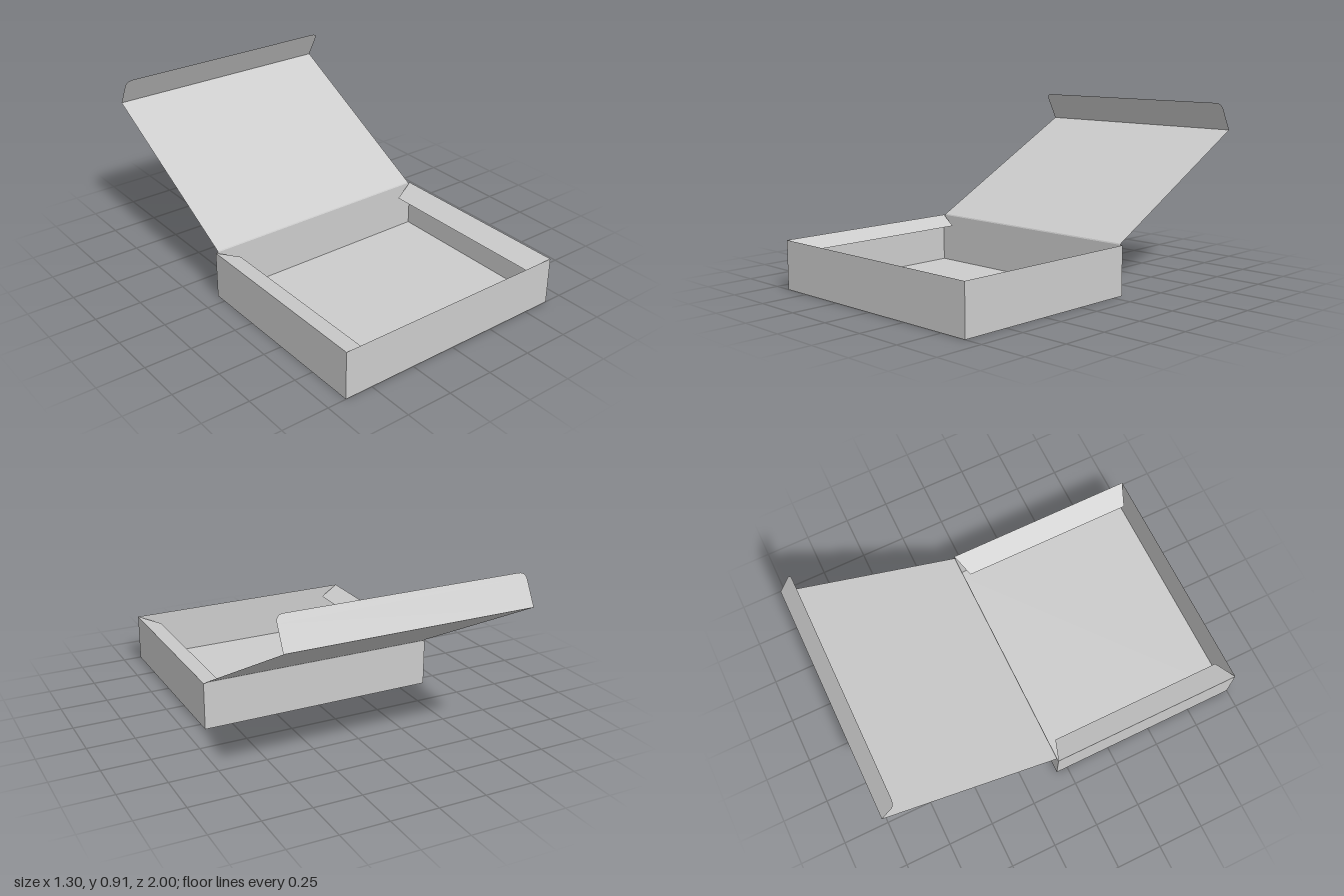
import * as THREE from 'three';

const material = new THREE.MeshStandardMaterial({ color: 0xcccccc, side: THREE.DoubleSide, flatShading: true });

// Flat thin card panel from its corners, in order
function panel(name, ...corners) {
  const geometry = new THREE.BufferGeometry();
  geometry.setAttribute('position', new THREE.Float32BufferAttribute(corners.flat(), 3));
  const index = [];
  for (let i = 1; i < corners.length - 1; i++) index.push(0, i, i + 1);
  geometry.setIndex(index);
  geometry.computeVertexNormals();
  const mesh = new THREE.Mesh(geometry, material);
  mesh.name = name;
  return mesh;
}

// Panel spanning the width between two (y, z) edges
function span(name, w0, [y0, z0], w1, [y1, z1]) {
  return panel(name, [-w0, y0, z0], [w0, y0, z0], [w1, y1, z1], [-w1, y1, z1]);
}

export function createModel() {
  const box = new THREE.Group();
  box.name = 'openBox';
  const W = 0.65, L = 0.637, H = 0.255, back = -0.063, front = 1;

  // Tray
  box.add(span('floor', W, [0, front], W, [0, back]));
  box.add(span('frontWall', W, [0, front], W, [H, front]));
  box.add(span('backWall', W, [0, back], W, [H, back]));

  // Side walls with flaps folded inward and slightly down
  for (const [side, s] of [['left', 1], ['right', -1]]) {
    box.add(panel(side + 'Wall', [s * W, 0, front], [s * W, 0, back], [s * W, H, back], [s * W, H, front]));
    box.add(panel(side + 'Flap', [s * W, H, front], [s * W, H, back],
      [s * 0.53, H - 0.045, -0.02], [s * 0.53, H - 0.045, 0.953]));
  }

  // Hinge crease and open lid
  const hinge = [0.261, -0.066], edge = [0.76, -1];
  box.add(span('hinge', L, [H, back], L, hinge));
  box.add(span('lid', L, hinge, L, edge));

  // Tuck flap with rounded corners, bent back towards the front
  const length = 0.17, r = 0.04;
  const shape = new THREE.Shape();
  shape.moveTo(-L, 0);
  shape.lineTo(L, 0);
  shape.lineTo(L, length - r);
  shape.quadraticCurveTo(L, length, L - r, length);
  shape.lineTo(-L + r, length);
  shape.quadraticCurveTo(-L, length, -L, length - r);
  const tuck = new THREE.Mesh(new THREE.ShapeGeometry(shape, 6), material);
  tuck.name = 'tuckFlap';
  tuck.position.set(0, ...edge);
  tuck.rotation.x = Math.atan2(0.08, 0.15);
  box.add(tuck);

  return box;
}
